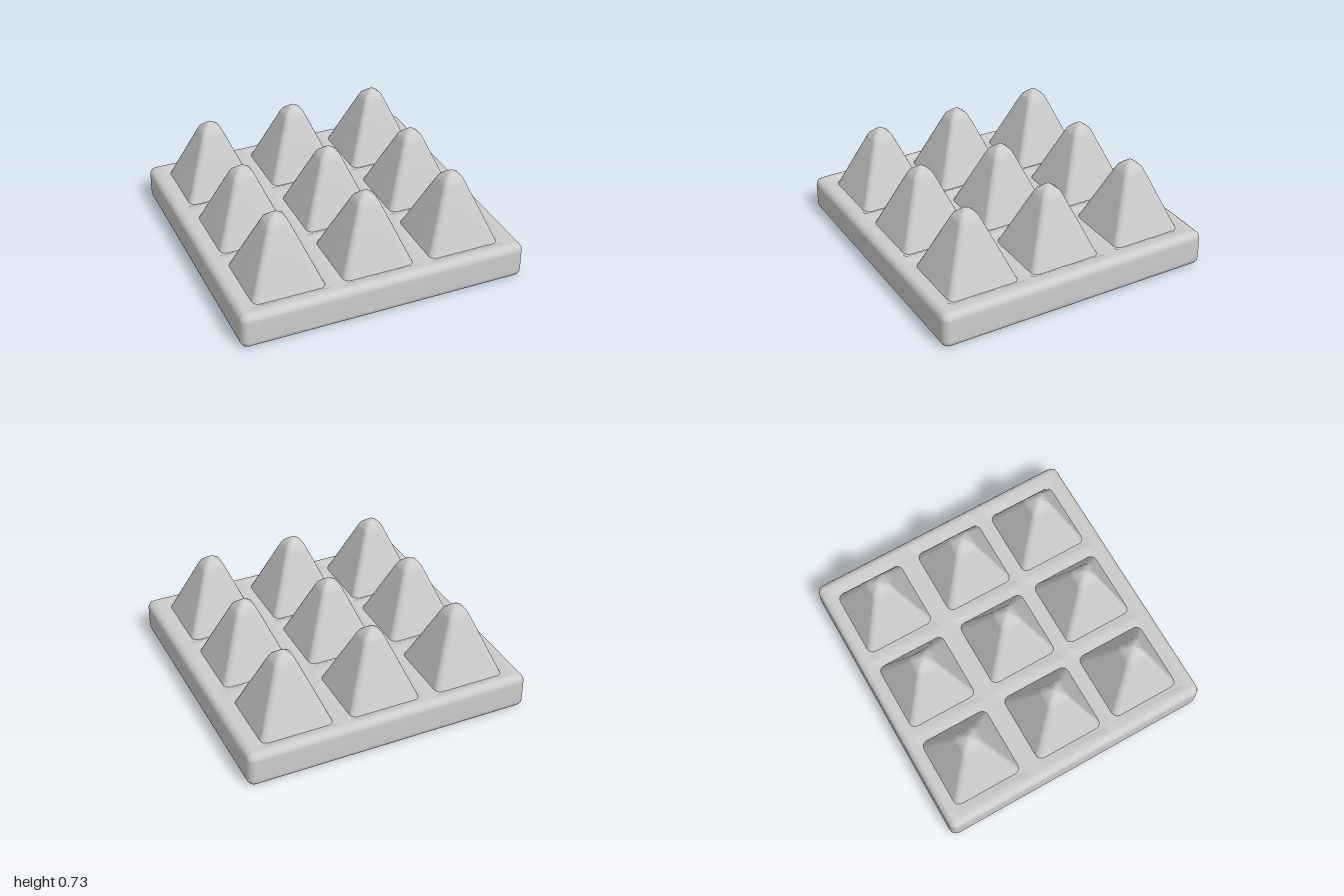
import * as THREE from 'three';
import { mergeVertices } from 'three/addons/utils/BufferGeometryUtils.js';

const material = new THREE.MeshStandardMaterial({ color: 0xcccccc });
const columns = [-0.625, -0.005, 0.615]; // spike centres in x
const rows = [-0.627, 0.01, 0.612];      // spike centres in z
const CELL = 0.25, SLOPE = 0.03;

function finish(points, index) {
  let geometry = new THREE.BufferGeometry();
  geometry.setAttribute('position', new THREE.Float32BufferAttribute(points, 3));
  geometry.setIndex(index);
  geometry = mergeVertices(geometry, 1e-5);
  geometry.computeVertexNormals();
  return geometry;
}

// Skin over rounded rectangles stacked upwards: [y, half width, half depth, corner radius]
function loft(rings, steps = 4) {
  const points = [], index = [], n = 4 * (steps + 1);
  for (const [y, hx, hz, r] of rings) {
    for (let corner = 0; corner < 4; corner++) {
      const sx = corner === 0 || corner === 3 ? 1 : -1;
      const sz = corner < 2 ? 1 : -1;
      for (let k = 0; k <= steps; k++) {
        const a = (corner + k / steps) * Math.PI / 2;
        points.push(sx * (hx - r) + r * Math.cos(a), y, sz * (hz - r) + r * Math.sin(a));
      }
    }
  }
  for (let j = 0; j < rings.length - 1; j++) {
    for (let i = 0; i < n; i++) {
      const a = j * n + i, b = j * n + (i + 1) % n;
      index.push(a, a + n, b, b, a + n, b + n);
    }
  }
  return finish(points, index);
}

// Tray top: a grid that dips slightly into each square cell
function trayTop(hx, hz) {
  const lines = (centres, half) => [-half,
    ...centres.flatMap(c => [c - CELL - SLOPE, c - CELL, c + CELL, c + CELL + SLOPE]), half];
  const xs = lines(columns, hx), zs = lines(rows, hz);
  const inCell = (v, centres) => centres.some(c => Math.abs(v - c) < CELL + 0.001);
  const points = [], index = [], n = xs.length;
  zs.forEach((z, j) => xs.forEach((x, i) => {
    points.push(x, inCell(x, columns) && inCell(z, rows) ? 0.235 : 0.25, z);
    if (i < n - 1 && j < zs.length - 1) {
      const a = j * n + i;
      index.push(a, a + n, a + 1, a + 1, a + n, a + n + 1);
    }
  }));
  return finish(points, index);
}

export function createModel() {
  const group = new THREE.Group();
  const add = (name, geometry) => {
    const mesh = new THREE.Mesh(geometry, material);
    mesh.name = name;
    group.add(mesh);
    return mesh;
  };

  // Slab body with rounded bottom and top edges, open where the tray top sits
  const R = 0.05, HX = 1, HZ = 0.98, rings = [[0, 0, 0, 0], [0, HX - R - 0.02, HZ - R - 0.02, 0]];
  for (const [base, from] of [[R, -1], [0.25 - R, 0]]) {
    for (let k = 0; k <= 4; k++) {
      const a = (from + k / 4) * Math.PI / 2, r = R * Math.cos(a);
      rings.push([base + R * Math.sin(a), HX - R + r, HZ - R + r, r]);
    }
  }
  add('slabBody', loft(rings));
  add('trayTop', trayTop(HX - R, HZ - R));

  // Nine pyramid spikes with softened edges and blunt tips
  const spike = loft([
    [0.2, 0.263, 0.263, 0.045],
    [0.25, 0.243, 0.243, 0.045],
    [0.46, 0.157, 0.157, 0.04],
    [0.64, 0.083, 0.083, 0.035],
    [0.675, 0.067, 0.067, 0.034],
    [0.707, 0.03, 0.03, 0.02],
    [0.727, 0, 0, 0],
  ]);
  for (const z of rows) {
    for (const x of columns) add('spike', spike).position.set(x, 0, z);
  }
  return group;
}
